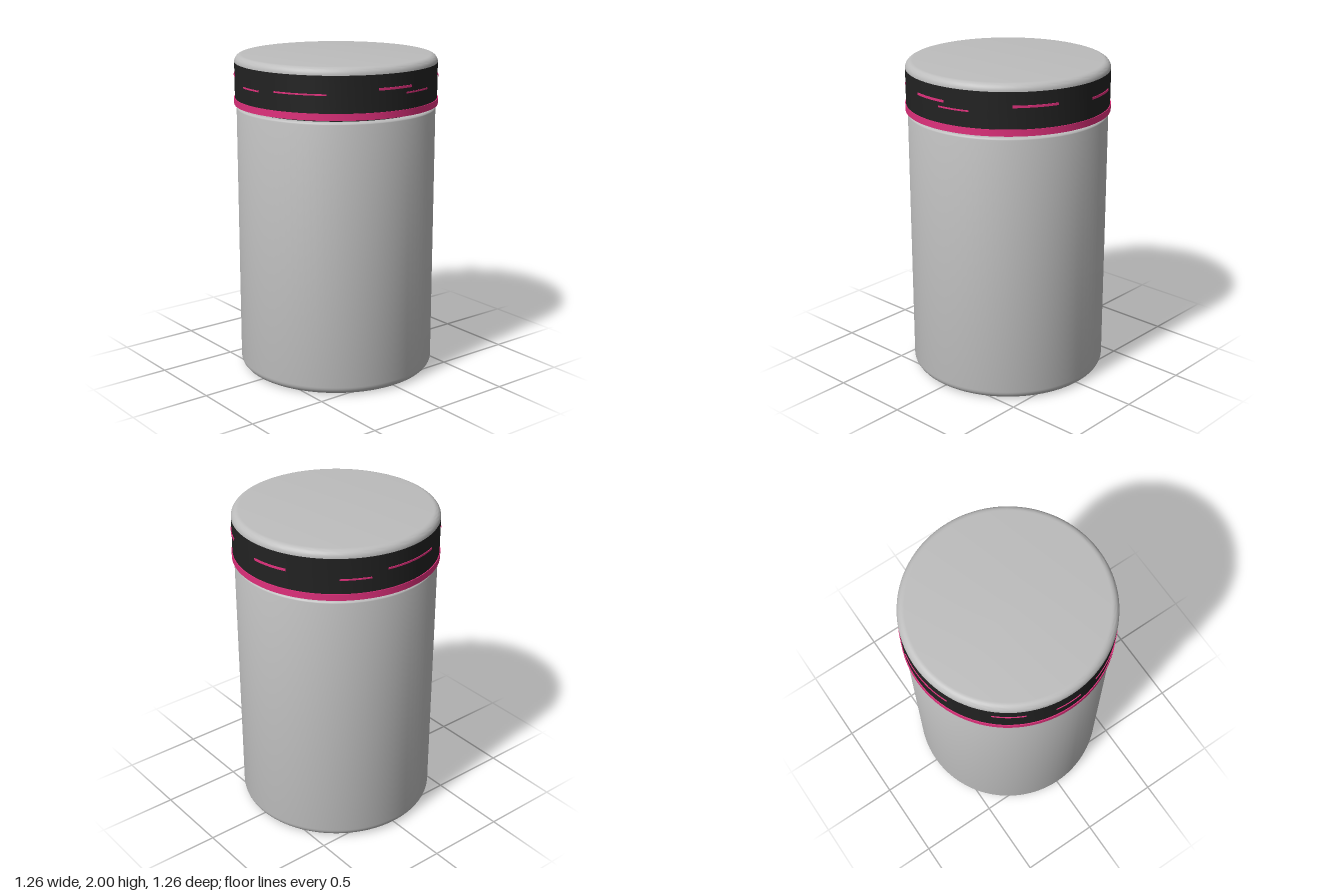
import * as THREE from 'three';
import { toCreasedNormals } from 'three/addons/utils/BufferGeometryUtils.js';

const SEGMENTS = 96;

function material(name, color) {
  const m = new THREE.MeshStandardMaterial({ color });
  m.name = name;
  return m;
}

// Points of a quarter-round edge about (cx, cy), angles in degrees
function arc(cx, cy, r, from, to, steps = 8) {
  return Array.from({ length: steps + 1 }, (_, i) => {
    const a = THREE.MathUtils.degToRad(from + ((to - from) * i) / steps);
    return [cx + r * Math.cos(a), cy + r * Math.sin(a)];
  });
}

// Turned part: profile runs from bottom to top as [radius, y]
function turned(name, profile, mat, start = 0, length = Math.PI * 2, segments = SEGMENTS) {
  const points = profile.map(([r, y]) => new THREE.Vector2(r, y));
  const geometry = new THREE.LatheGeometry(points, segments, start, length);
  const mesh = new THREE.Mesh(toCreasedNormals(geometry, 0.6), mat);
  mesh.name = name;
  return mesh;
}

export function createModel() {
  const grey = material('grey', 0xbdbdbd);
  const black = material('black', 0x222222);
  const pink = material('pink', 0xe0307c);

  const model = new THREE.Group();
  model.name = 'jar';

  // Body with rounded foot and a softly rounded shoulder
  model.add(turned('body', [
    ...arc(0.565, 0.05, 0.05, -90, 0),
    ...arc(0.597, 1.664, 0.018, 0, 90, 5),
    [0.56, 1.682],
  ], grey));
  model.add(turned('base', [[0, 0], [0.565, 0]], black));
  model.add(turned('neck', [[0.572, 1.67], [0.572, 1.71]], black));

  // Lid: pink ring, black band and grey cap
  const lid = new THREE.Group();
  lid.name = 'lid';
  lid.add(turned('lidUnderside', [[0.56, 1.698], [0.622, 1.698]], black));
  lid.add(turned('lidRing', [
    [0.62, 1.697], [0.629, 1.697], [0.629, 1.737], [0.62, 1.737],
  ], pink));
  lid.add(turned('lidBand', [[0.624, 1.735], [0.624, 1.955]], black));
  lid.add(turned('lidCap', [
    [0.624, 1.955],
    ...arc(0.579, 1.955, 0.045, 0, 90),
    [0, 2],
  ], grey));

  // Thin dashes round the band: start and end angle from the front, height, thickness
  const dashes = [
    [-73, -43, 1.845, 0.009],
    [-15, 6.5, 1.87, 0.014],
    [2.5, 21.5, 1.834, 0.009],
    [44.5, 69.5, 1.87, 0.014],
    [93.5, 114.5, 1.855, 0.014],
    [143, 160, 1.826, 0.009],
    [169, 203, 1.862, 0.011],
    [227, 245, 1.878, 0.009],
    [261, 276, 1.834, 0.009],
  ];
  const dashGroup = new THREE.Group();
  dashGroup.name = 'bandDashes';
  for (const [from, to, y, t] of dashes) {
    const a = THREE.MathUtils.degToRad(from);
    const b = THREE.MathUtils.degToRad(to);
    dashGroup.add(turned('dash', [
      [0.622, y - t / 2], [0.628, y - t / 2], [0.628, y + t / 2], [0.622, y + t / 2],
    ], pink, a, b - a, 12));
  }
  lid.add(dashGroup);
  model.add(lid);

  return model;
}
